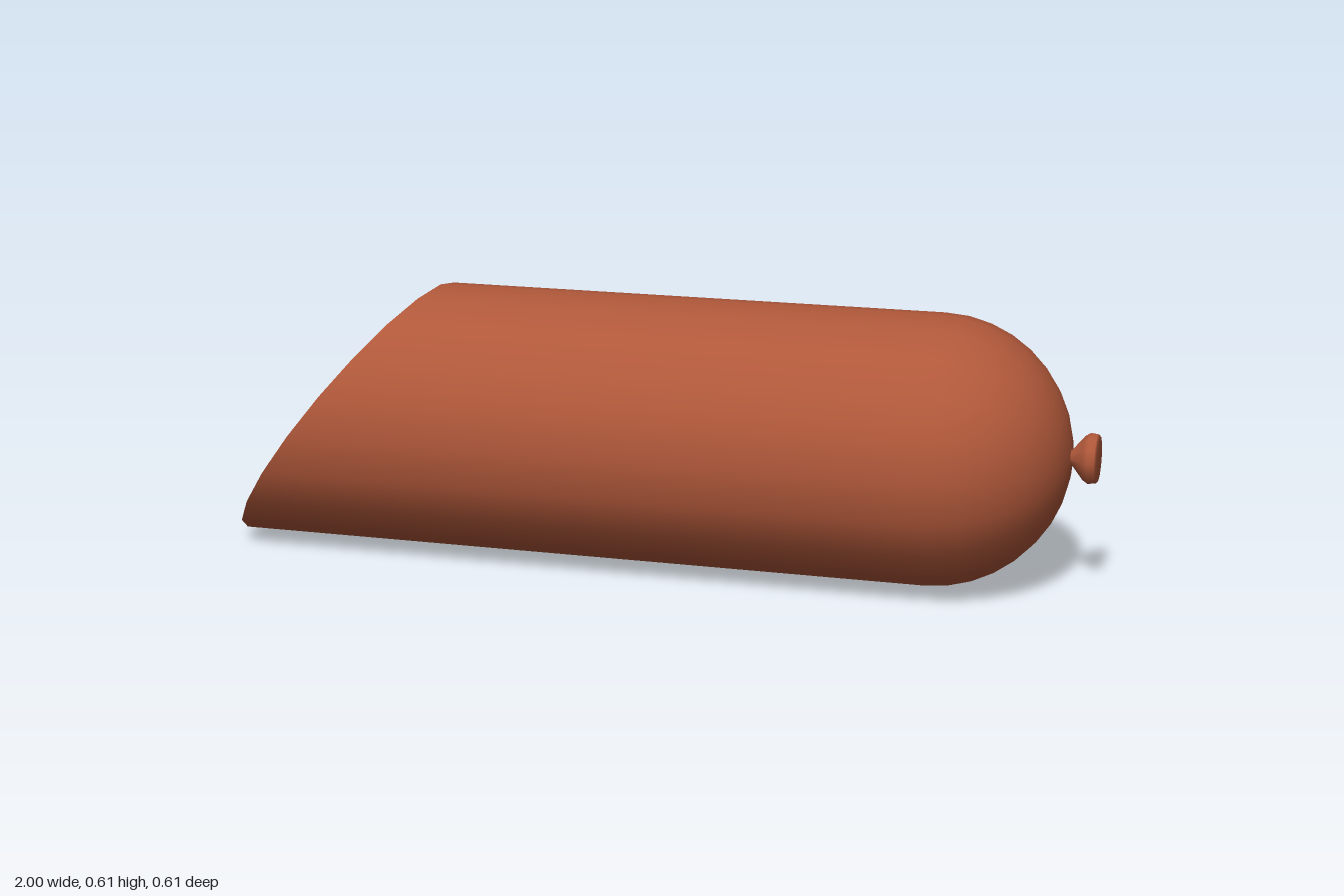
import * as THREE from 'three';

const R = 0.306, SIDES = 20, DOME_X = 0.635;

// Slanted slice plane: x as a function of height and depth (about the axis)
const sliceX = (y, z) => -0.765 + 0.765 * y - 0.1 * z;

// Lathe whose axis runs along +x; points are [radius, x]
function latheX(points, sides) {
  const geo = new THREE.LatheGeometry(points.map(([r, x]) => new THREE.Vector2(r, x)), sides);
  return geo.rotateZ(-Math.PI / 2);
}

// Move every vertex that satisfies the test onto the slice plane
function snapToSlice(geo, test) {
  const p = geo.attributes.position;
  for (let i = 0; i < p.count; i++) {
    if (test(p.getX(i))) p.setX(i, sliceX(p.getY(i), p.getZ(i)));
  }
  return geo;
}

export function createModel() {
  const casing = new THREE.MeshStandardMaterial({ color: 0xb0583a });
  casing.name = 'casing';
  const meat = new THREE.MeshStandardMaterial({ color: 0xa86e6e });
  meat.name = 'meat';

  const group = new THREE.Group();
  group.name = 'sausage';
  const add = (name, geo, mat) => {
    const mesh = new THREE.Mesh(geo, mat);
    mesh.name = name;
    mesh.position.y = R;
    group.add(mesh);
    return mesh;
  };

  // Body: straight tube ending in a hemisphere
  const profile = [[R, -1], [R, 0]];
  const steps = 9;
  for (let i = 0; i <= steps; i++) {
    const a = (i / steps) * Math.PI / 2;
    profile.push([i === steps ? 0 : R * Math.cos(a), DOME_X + R * Math.sin(a)]);
  }
  add('body', snapToSlice(latheX(profile, SIDES), x => x < -0.9), casing);

  // Cut face on the slanted end
  const face = new THREE.CircleGeometry(R, SIDES).rotateY(-Math.PI / 2);
  snapToSlice(face, () => true).computeVertexNormals();
  add('cutFace', face, meat);

  // Tied-off knot: flared nub on the rounded end
  const knot = latheX([[0.016, 0.925], [0.018, 0.942], [0.05, 0.968], [0.058, 0.98], [0.056, 0.995], [0.05, 1], [0, 1]], 12);
  add('knot', knot, casing).position.y = 0.31;

  return group;
}
